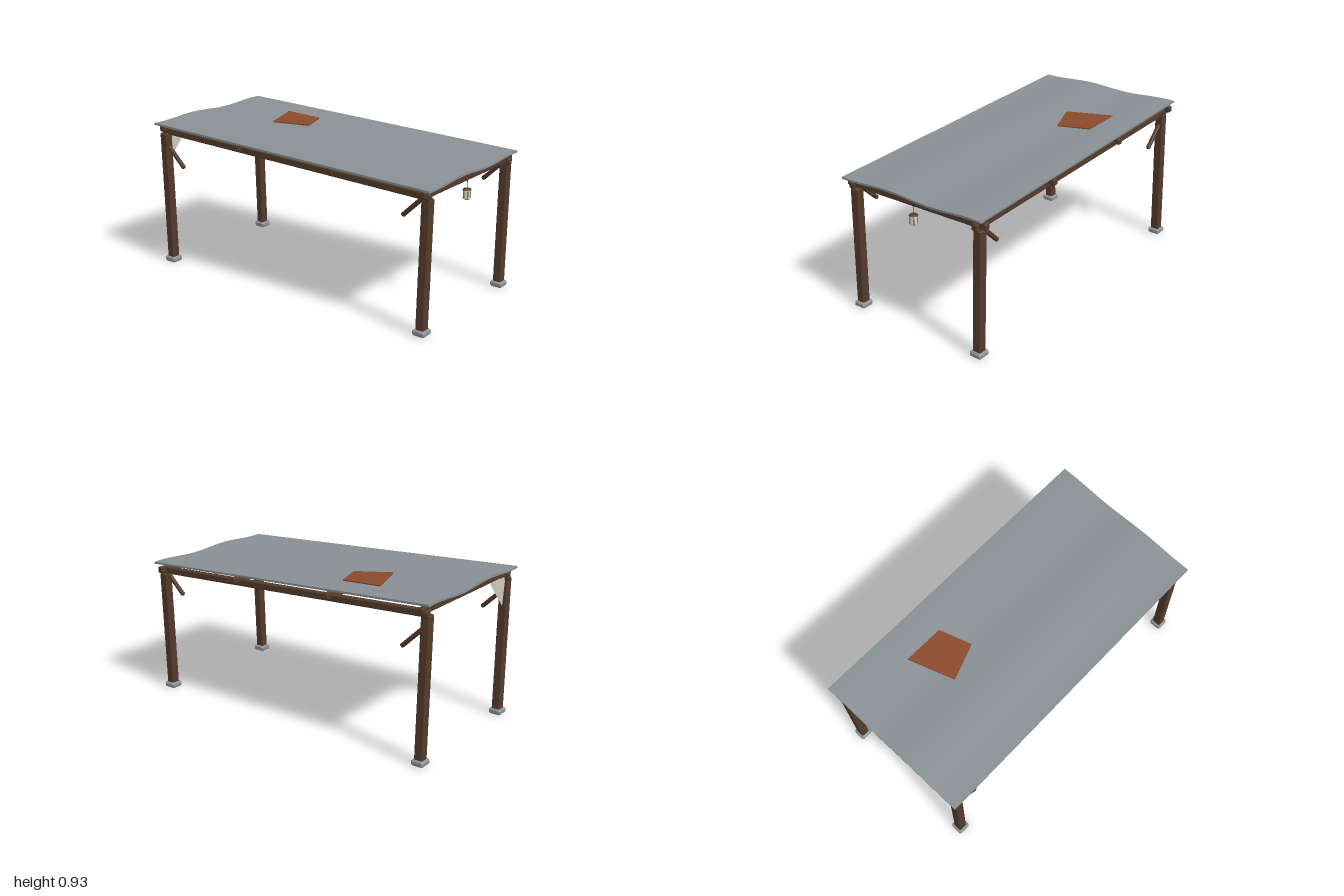
import * as THREE from 'three';

const SLOPE = 0.0447, YAW = 0.0105;

export function createModel() {
  const model = new THREE.Group();
  model.name = 'carport';

  const paint = (name, color, side = THREE.FrontSide) =>
    new THREE.MeshStandardMaterial({ name, color, side });
  const wood = paint('darkWood', 0x543c2d);
  const metal = paint('roofMetal', 0x8a9195);
  const stone = paint('footStone', 0x8b9197);
  const rust = paint('rustPatch', 0x8c4a2b);
  const cloth = paint('paleCloth', 0xcfcabd, THREE.DoubleSide);
  const glass = paint('lanternGlass', 0xd8d4c4);

  const add = (name, geometry, material, parent = model) => {
    const mesh = new THREE.Mesh(geometry, material);
    mesh.name = name;
    parent.add(mesh);
    return mesh;
  };

  // Box with chamfered edges, running along +z from the origin
  const chamferedBar = (w, h, length, c) => {
    const x = w / 2 - c, y = h / 2 - c, k = c * 0.4;
    const shape = new THREE.Shape([
      [-x + k, -y], [x - k, -y], [x, -y + k], [x, y - k],
      [x - k, y], [-x + k, y], [-x, y - k], [-x, -y + k],
    ].map(p => new THREE.Vector2(...p)));
    const g = new THREE.ExtrudeGeometry(shape, {
      depth: length - 2 * c, bevelEnabled: true, bevelSize: c, bevelThickness: c, bevelSegments: 1,
    });
    return g.translate(0, 0, c);
  };

  // Timber between two points
  const timber = (name, a, b, w, h, up = [0, 1, 0]) => {
    const from = new THREE.Vector3(...a), to = new THREE.Vector3(...b);
    const mesh = add(name, chamferedBar(w, h, from.distanceTo(to), 0.005), wood);
    mesh.up.set(...up);
    mesh.position.copy(from);
    mesh.lookAt(to);
    return mesh;
  };

  // The upper frame is turned slightly against the feet
  const turned = (x, y, z) => [x + z * YAW * 1.9, y, z - x * YAW];
  const sideY = z => 0.827 - z * 0.0432;

  // Posts, feet and loose braces at the four corners
  for (const x of [-0.44, 0.44]) {
    for (const z of [-0.945, 0.945]) {
      const end = z > 0 ? 'front' : 'back';
      const foot = add(end + 'Foot', chamferedBar(0.08, 0.08, 0.035, 0.009), stone);
      foot.rotation.x = -Math.PI / 2;
      foot.position.set(x, 0, z);
      timber(end + 'Post', [x, 0.03, z], turned(x, z > 0 ? 0.768 : 0.855, z), 0.054, 0.052, [0, 0, 1]);
      const s = Math.sign(z);
      timber(end + 'Brace', [x + s * 0.015, 0.772, s * 0.925], [x + s * 0.015, 0.649, s * 0.797], 0.024, 0.024);
    }
  }

  // Sloping side beams
  for (const x of [-0.44, 0.445]) {
    timber('sideBeam', [x + 0.003, sideY(0.978), 0.978], [x - 0.003, sideY(-0.972), -0.972], 0.037, 0.04);
  }

  // Cross beams carrying the roof
  for (const [z, y] of [[0.945, 0.796], [0.34, 0.829], [-0.335, 0.857], [-0.943, 0.887]]) {
    const shift = z * YAW;
    timber('crossBeam', [-0.487 + shift, y, z + 0.005], [0.5 + shift, y, z - 0.005], 0.034, 0.038);
  }

  // Wavy, sloping roof sheet
  const roof = new THREE.BoxGeometry(0.99, 0.012, 1.985, 48, 1, 1);
  const p = roof.attributes.position;
  for (let i = 0; i < p.count; i++) {
    const x = p.getX(i), z = p.getZ(i);
    const wave = 0.0068 * Math.cos((x + 0.15) * 2 * Math.PI / 0.58);
    p.setXYZ(i, x + z * YAW, p.getY(i) + 0.8745 + wave - z * SLOPE, z - x * YAW * 0.5);
  }
  roof.computeVertexNormals();
  add('roofSheet', roof, metal);

  // Rusty plate lying on the roof
  const outline = [[0.015, 0.465], [0.098, 0.247], [0.293, 0.313], [0.293, 0.565]];
  const patch = add('roofPatch', new THREE.ExtrudeGeometry(
    new THREE.Shape(outline.map(q => new THREE.Vector2(...q))),
    { depth: 0.007, bevelEnabled: false }), rust);
  patch.rotation.x = -Math.PI / 2 + Math.atan(SLOPE);
  patch.position.y = 0.8805;

  // Torn cloth in the back corner
  const sail = new THREE.Shape([[-0.435, 0.865], [-0.415, 0.69], [-0.245, 0.865]]
    .map(q => new THREE.Vector2(...q)));
  add('clothCorner', new THREE.ShapeGeometry(sail), cloth).position.z = -0.95;

  // Hanging lantern
  const lantern = new THREE.Group();
  lantern.name = 'lantern';
  lantern.position.set(0, 0, 0.945);
  model.add(lantern);
  add('cord', new THREE.CylinderGeometry(0.0018, 0.0018, 0.07, 6), wood, lantern).position.y = 0.753;
  add('lanternCap', new THREE.CylinderGeometry(0.02, 0.027, 0.008, 8).toNonIndexed(), wood, lantern).position.y = 0.719;
  const profile = [[0, 0.66], [0.016, 0.66], [0.021, 0.667], [0.021, 0.709], [0.017, 0.716], [0, 0.716]]
    .map(q => new THREE.Vector2(...q));
  const body = new THREE.LatheGeometry(profile, 8).toNonIndexed();
  body.computeVertexNormals();
  add('lanternBody', body, glass, lantern);
  for (let i = 0; i < 4; i++) {
    const a = Math.PI / 4 + i * Math.PI / 2;
    add('lanternBar', new THREE.BoxGeometry(0.003, 0.05, 0.003), wood, lantern)
      .position.set(Math.cos(a) * 0.021, 0.69, Math.sin(a) * 0.021);
  }

  return model;
}
